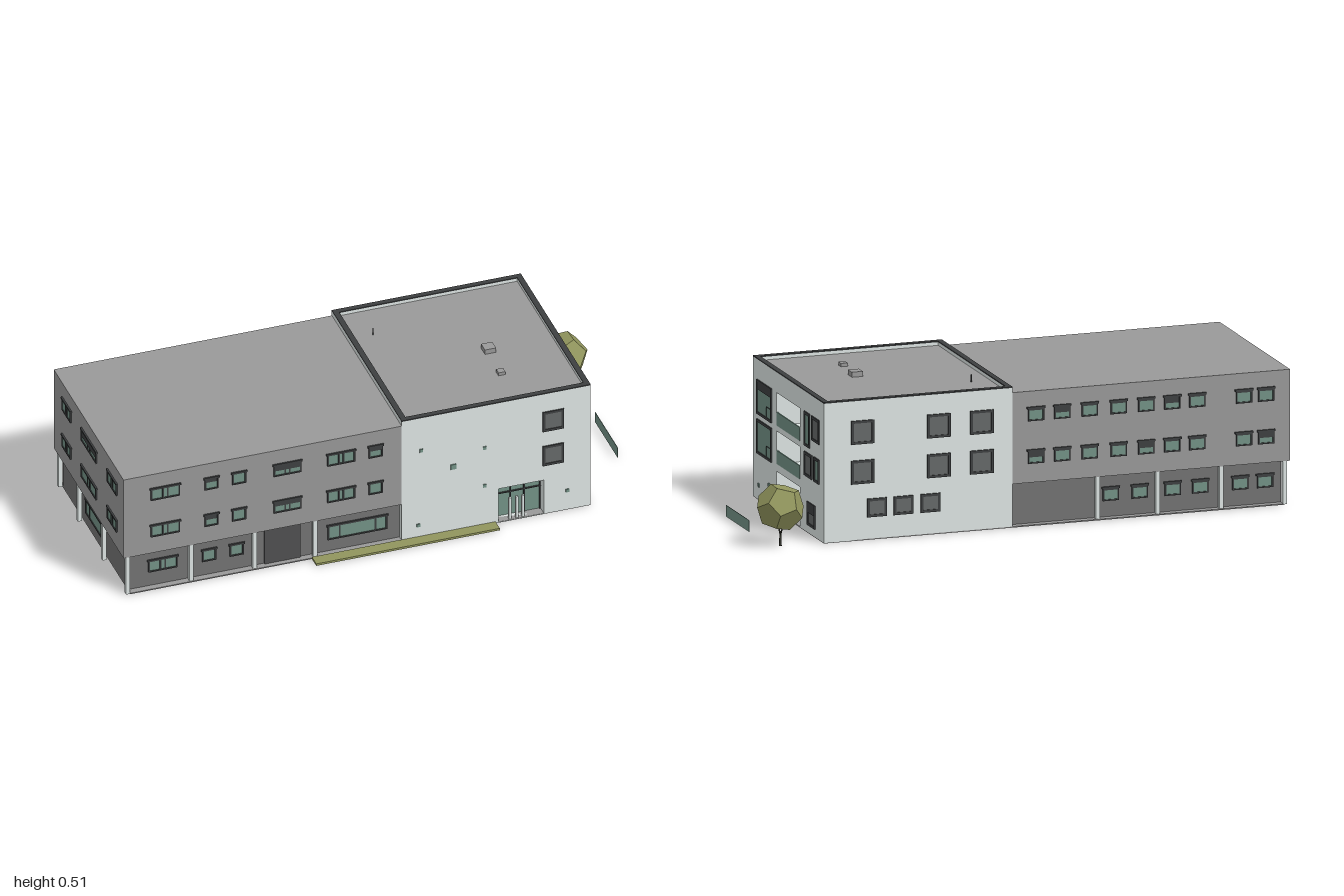
import * as THREE from 'three';

const mat = (name, color) => Object.assign(new THREE.MeshStandardMaterial({ color }), { name });
const M = {
  wall: mat('pale wall', 0xdee6e4),
  panel: mat('grey panel', 0x999999),
  base: mat('ground floor grey', 0x737373),
  frame: mat('dark frame', 0x3e4041),
  door: mat('door grey', 0x505051),
  glass: mat('green glass', 0x739286),
  blind: mat('grey blind', 0x666969),
  leaf: mat('foliage', 0x91955d),
  trunk: mat('trunk', 0x33342c),
};
M.leaf.flatShading = true;

function add(parent, name, geo, material) {
  const mesh = new THREE.Mesh(geo, material);
  mesh.name = name;
  parent.add(mesh);
  return mesh;
}

// Box given by its limits on each axis
function box(parent, name, material, x0, x1, y0, y1, z0, z1) {
  const m = add(parent, name, new THREE.BoxGeometry(x1 - x0, y1 - y0, z1 - z0), material);
  m.position.set((x0 + x1) / 2, (y0 + y1) / 2, (z0 + z1) / 2);
  return m;
}

// Rectangle with rectangular holes, extruded; each rectangle is [x0, x1, y0, y1]
function slab(outer, holes, depth) {
  const pts = ([a, b, c, d]) => [[a, c], [b, c], [b, d], [a, d]].map(p => new THREE.Vector2(...p));
  const shape = new THREE.Shape(pts(outer));
  holes.forEach(h => shape.holes.push(new THREE.Path(pts(h).reverse())));
  return new THREE.ExtrudeGeometry(shape, { depth, bevelEnabled: false });
}

// Facade: local x runs along the wall, z points outward
function facade(parent, name, x, z, turn) {
  const g = new THREE.Group();
  g.name = name;
  g.position.set(x, 0, z);
  g.rotation.y = turn;
  parent.add(g);
  return g;
}

// Window with frame; t = frame width, blind = share of the height covered, splits = mullion positions
function win(f, [x0, x1, y0, y1], { t = 0.005, pane = M.glass, blind = 0, splits = [], lintel = true } = {}) {
  add(f, 'windowFrame', slab([x0, x1, y0, y1], [[x0 + t, x1 - t, y0 + t, y1 - t]], 0.005), M.frame);
  box(f, 'windowPane', pane, x0 + t, x1 - t, y0 + t, y1 - t, 0, 0.002);
  if (blind) box(f, 'blind', M.frame, x0 + t, x1 - t, y1 - t - (y1 - y0) * blind, y1 - t, 0, 0.004);
  for (const s of splits) {
    const x = x0 + (x1 - x0) * s;
    box(f, 'mullion', M.frame, x - 0.003, x + 0.003, y0 + t, y1 - t, 0, 0.0045);
  }
  if (lintel) box(f, 'lintel', M.frame, x0 - 0.004, x1 + 0.004, y1 - 0.007, y1, 0, 0.006);
}

function buildWing(b) {
  const L = -1.008, D = -0.723, R = 0.025, G = 0.153;
  box(b, 'wingUpperFloors', M.panel, L, 0, G, 0.475, D, 0);
  box(b, 'wingGroundFloor', M.base, L + R, 0, 0.004, G, D + R, -R);
  const rows = [[0.37, 0.42], [0.22, 0.27]];

  // Front
  const front = facade(b, 'wingFront', 0, 0, 0);
  const frontWins = [[-0.91, -0.805], [-0.715, -0.665], [-0.615, -0.565], [-0.465, -0.365], [-0.27, -0.17], [-0.12, -0.07]];
  const frontBlinds = [[0, 0.3, 0, 0.45, 0, 0.35], [0, 0.35, 0, 0.35, 0, 0]];
  rows.forEach((r, j) => frontWins.forEach(([a, c], i) =>
    win(front, [a, c, ...r], { splits: c - a > 0.08 ? [0.42, 0.58] : [], blind: frontBlinds[j][i] })));
  const frontLow = facade(b, 'wingFrontGround', 0, -R, 0);
  for (const i of [0, 1, 2]) win(frontLow, [...frontWins[i], 0.06, 0.11], { splits: i ? [] : [0.42, 0.58] });
  win(frontLow, [-0.26, -0.045, 0.05, 0.11], { splits: [0.2, 0.8] });
  box(frontLow, 'wingDoor', M.door, -0.49, -0.36, 0.004, G, 0, 0.006);

  // Back
  const back = facade(b, 'wingBack', 0, D, Math.PI);
  const w = 0.029;
  rows.forEach((r, j) => [0.085, 0.18, 0.28, 0.385, 0.485, 0.58, 0.67, 0.84, 0.92].forEach((x, i) =>
    win(back, [x - w, x + w, ...r], { blind: (i + j) % 4 === 1 ? 0.45 : 0.15 })));
  const backLow = facade(b, 'wingBackGround', 0, D + R, Math.PI);
  for (const x of [0.365, 0.47, 0.59, 0.69, 0.835, 0.925]) win(backLow, [x - w, x + w, 0.06, 0.11], { blind: 0.15 });

  // Left end
  const end = facade(b, 'wingEnd', L, 0, -Math.PI / 2);
  rows.forEach((r, j) => [[-0.63, -0.54], [-0.43, -0.275], [-0.16, -0.065]].forEach(([a, c], i) =>
    win(end, [a, c, ...r], { splits: [0.42, 0.58], blind: i === 1 && !j ? 0.5 : 0 })));
  const endLow = facade(b, 'wingEndGround', L + R, 0, -Math.PI / 2);
  win(endLow, [-0.455, -0.255, 0.05, 0.11], { splits: [0.2, 0.8] });

  // Columns under the overhang
  const e = 0.011, h = 0.0075, spots = [];
  for (const x of [-0.99, -0.76, -0.53, -0.312]) spots.push([x, -e], [x, D + e]);
  spots.push([L + e, -0.49], [L + e, -0.235]);
  for (const [x, z] of spots) box(b, 'column', M.wall, x - h, x + h, 0, G, z - h, z + h);
}

function buildBlock(b) {
  const W = 0.685, D = -0.725, H = 0.478, S = 0.565;
  const bay = [0.242, 0.479], entry = [0.35, 0.515, 0.004, 0.14];
  const bays = [[...bay, 0.305, 0.42], [...bay, 0.17, 0.285], [...bay, 0.004, 0.143]];

  // Walls, with the entrance and balcony bays cut out
  box(b, 'blockCore', M.wall, 0, S, 0.004, H, D, -0.04);
  add(b, 'blockFrontWall', slab([0, S, 0.002, H], [entry], 0.04), M.wall).position.z = -0.04;
  const side = facade(b, 'blockSide', W, 0, Math.PI / 2);
  add(side, 'blockSideWall', slab([0, -D, 0.002, H], bays, W - S), M.wall).position.z = S - W;

  // Parapet, coping and roof
  const t = 0.02;
  const ring = (name, y, h, m) => {
    const r = add(b, name, slab([0, W, 0, -D], [[t, W - t, t, -D - t]], h), m);
    r.rotation.x = -Math.PI / 2;
    r.position.y = y;
  };
  ring('parapet', H, 0.014, M.wall);
  ring('coping', H + 0.014, 0.004, M.frame);
  box(b, 'blockRoof', M.panel, t, W - t, H - 0.002, H + 0.003, D + t, -t);
  box(b, 'skylight', M.panel, 0.412, 0.452, H, 0.499, -0.355, -0.315);
  box(b, 'skylight', M.panel, 0.412, 0.437, H, 0.493, -0.2, -0.175);
  add(b, 'roofVent', new THREE.CylinderGeometry(0.002, 0.002, 0.03, 6), M.frame).position.set(0.09, 0.493, -0.555);

  // Front: windows, entrance and wall lamps
  const plain = { t: 0.009, lintel: false };
  const square = { ...plain, pane: M.blind };
  const front = facade(b, 'blockFront', 0, 0, 0);
  for (const y of [0.34, 0.2]) win(front, [0.51, 0.587, y, y + 0.08], square);
  box(b, 'entranceGlass', M.glass, 0.35, 0.515, 0.004, 0.14, -0.04, -0.036);
  for (const x of [0.353, 0.405, 0.455, 0.512]) box(b, 'entrancePost', M.frame, x - 0.002, x + 0.002, 0.004, 0.14, -0.036, -0.031);
  box(b, 'entranceRail', M.frame, 0.35, 0.515, 0.096, 0.1, -0.036, -0.031);
  for (const x of [0.395, 0.42, 0.442]) box(b, 'entrancePillar', M.wall, x - 0.005, x + 0.005, 0.004, 0.09, -0.012, -0.004);
  const lamp = (f, x, y, s = 0.006) => box(f, 'wallLamp', M.glass, x - s, x + s, y - s, y + s, 0, 0.004);
  for (const [x, y] of [[0.07, 0.36], [0.3, 0.32], [0.3, 0.165], [0.06, 0.055], [0.6, 0.08]]) lamp(front, x, y);
  lamp(front, 0.187, 0.268, 0.01);

  // Side: large windows left of the bays, small ones to the right
  win(side, [0.043, 0.195, 0.302, 0.423], { ...plain, blind: 0.2 });
  win(side, [0.043, 0.195, 0.163, 0.284], plain);
  for (const y of [0.311, 0.172]) {
    box(side, 'paneBar', M.frame, 0.144, 0.146, y, y + 0.038, 0, 0.004);
    box(side, 'paneBar', M.frame, 0.144, 0.186, y + 0.036, y + 0.038, 0, 0.004);
  }
  win(side, [0.53, 0.585, 0.303, 0.423], plain);
  win(side, [0.605, 0.682, 0.338, 0.423], square);
  win(side, [0.53, 0.608, 0.198, 0.282], square);
  win(side, [0.629, 0.681, 0.198, 0.284], plain);
  win(side, [0.562, 0.64, 0.03, 0.112], { ...square, blind: 0.35 });
  lamp(side, 0.063, 0.053);
  lamp(side, 0.168, 0.078);

  // Glazing at the back of each bay, with a glass railing on the upper two
  const zb = S - W;
  bays.forEach(([a, c, y0, y1], i) => {
    const upper = i < 2;
    box(side, 'bayGlass', M.glass, a, c, y0, y1, zb, zb + 0.004);
    for (const x of upper ? [0.337, 0.381, 0.451] : [0.358, 0.428, 0.462])
      box(side, 'bayPost', M.wall, x - 0.003, x + 0.003, y0, y1, zb, zb + 0.008);
    if (upper) box(side, 'balconyRailing', M.glass, a, c, y0, y0 + 0.047, -0.004, 0.001);
    else {
      box(side, 'bayMullion', M.frame, 0.3, 0.305, y0, 0.106, zb, zb + 0.008);
      box(side, 'bayTransom', M.frame, a, 0.355, 0.106, 0.11, zb, zb + 0.008);
    }
  });
  // Free-standing terrace screen
  box(side, 'terraceScreen', M.glass, 0.244, 0.481, 0, 0.04, 0.183, 0.185);

  // Back
  const back = facade(b, 'blockBack', 0, D, Math.PI);
  for (const x of [-0.545, -0.268, -0.112])
    for (const y of [0.34, 0.2]) win(back, [x - 0.042, x + 0.042, y, y + 0.083], square);
  for (const x of [-0.493, -0.397, -0.299]) win(back, [x - 0.036, x + 0.036, 0.08, 0.145], square);
}

function buildTree(root) {
  const tree = new THREE.Group();
  tree.name = 'tree';
  tree.position.set(0.917, 0, -0.22);
  root.add(tree);
  const crown = add(tree, 'treeCrown', new THREE.DodecahedronGeometry(0.085), M.leaf);
  crown.position.y = 0.137;
  crown.rotation.set(0.45, 0.3, 0.1);
  add(tree, 'treeTrunk', new THREE.CylinderGeometry(0.003, 0.005, 0.05, 7), M.trunk).position.y = 0.025;
  for (const s of [-1, 1]) {
    const branch = add(tree, 'treeBranch', new THREE.CylinderGeometry(0.002, 0.003, 0.04, 6), M.trunk);
    branch.position.set(0, 0.055, s * 0.009);
    branch.rotation.x = s * 0.5;
  }
}

export function createModel() {
  const root = new THREE.Group();
  root.name = 'officeBuilding';

  // Building axes are turned slightly; origin is the front joint of the two volumes
  const b = new THREE.Group();
  b.name = 'building';
  b.position.set(0, 0, 0.377);
  b.rotation.y = -0.124;
  root.add(b);
  box(b, 'groundSlab', M.panel, -0.983, 0.685, 0, 0.004, -0.725, -0.001);
  box(b, 'lawn', M.leaf, -0.325, 0.34, 0, 0.008, -0.001, 0.044);
  buildWing(b);
  buildBlock(b);
  buildTree(root);
  return root;
}
